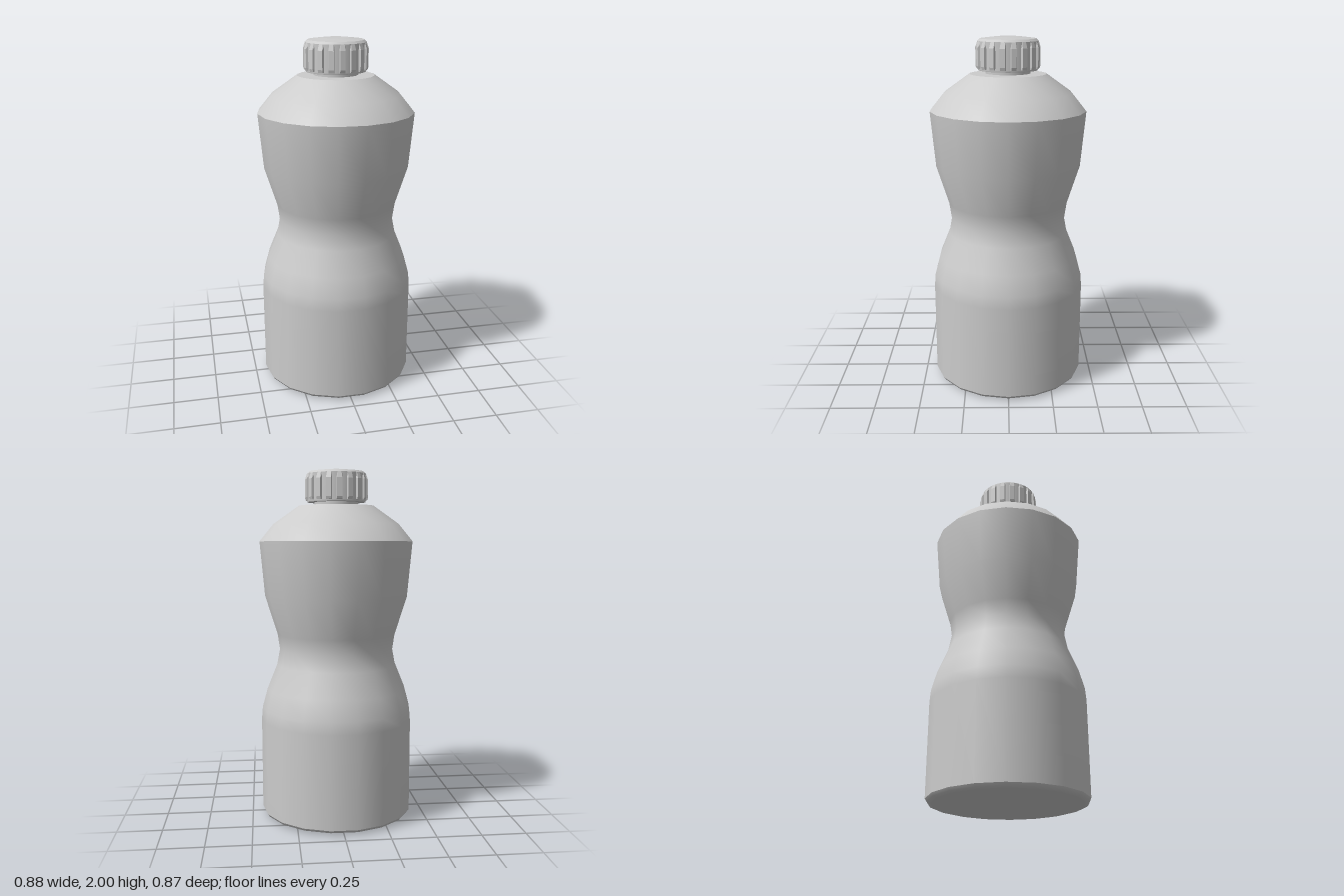
import * as THREE from 'three';

const SIDES = 18;
const material = new THREE.MeshStandardMaterial({ color: 0xcccccc });
const flatMaterial = new THREE.MeshStandardMaterial({ color: 0xcccccc, flatShading: true });

// Ring of revolution from a bottom-to-top [radius, y] profile, with a corner on +x
function turned(name, profile, sides = SIDES) {
  const points = profile.map(([r, y]) => new THREE.Vector2(r, y));
  const mesh = new THREE.Mesh(new THREE.LatheGeometry(points, sides, Math.PI / 2), material);
  mesh.name = name;
  return mesh;
}

// Grip rib facing +z: a trapezoid bar whose outer face slopes back at both ends
function ribGeometry() {
  const geometry = new THREE.BoxGeometry(1, 1, 1, 1, 3, 1);
  const p = geometry.attributes.position;
  const levels = [1.83, 1.845, 1.945, 1.978];
  for (let i = 0; i < p.count; i++) {
    const row = Math.round((p.getY(i) + 0.5) * 3);
    const outer = p.getZ(i) > 0;
    const half = !outer ? 0.02 : row === 3 ? 0.011 : 0.014;
    const depth = !outer ? 0.155 : [0.174, 0.179, 0.179, 0.168][row];
    p.setXYZ(i, Math.sign(p.getX(i)) * half, levels[row], depth);
  }
  geometry.computeVertexNormals();
  return geometry;
}

export function createModel() {
  const model = new THREE.Group();
  model.name = 'bottle';

  // Bottle, split where its edges are sharp
  model.add(
    turned('base', [[0, 0.005], [0.41, 0.014]]),
    turned('baseBevel', [[0.41, 0.014], [0.43, 0.02], [0.44, 0.035]]),
    turned('body', [
      [0.44, 0.035], [0.44, 0.57], [0.434, 0.64], [0.404, 0.75], [0.347, 0.89],
      [0.33, 0.98], [0.343, 1.07], [0.412, 1.29], [0.44, 1.6],
    ]),
    turned('shoulder', [[0.44, 1.6], [0.36, 1.697], [0.215, 1.8]]),
    turned('shoulderTop', [[0.215, 1.8], [0.12, 1.802]]),
    turned('neck', [[0.125, 1.79], [0.125, 1.83]]),
  );

  // Screw cap
  const cap = new THREE.Group();
  cap.name = 'cap';
  cap.add(
    turned('capUnderside', [[0.12, 1.82], [0.165, 1.82]], 36),
    turned('capWall', [[0.165, 1.82], [0.168, 1.83], [0.168, 1.978]], 36),
    turned('capRim', [[0.168, 1.978], [0.155, 1.99]], 36),
    turned('capTop', [[0.155, 1.99], [0.072, 2]], 36),
    turned('capCentre', [[0.072, 2], [0, 2]], 36),
  );
  const rib = ribGeometry();
  for (let i = 0; i < SIDES; i++) {
    const mesh = new THREE.Mesh(rib, flatMaterial);
    mesh.name = 'gripRib';
    mesh.rotation.y = (i / SIDES) * Math.PI * 2;
    cap.add(mesh);
  }
  model.add(cap);
  return model;
}
